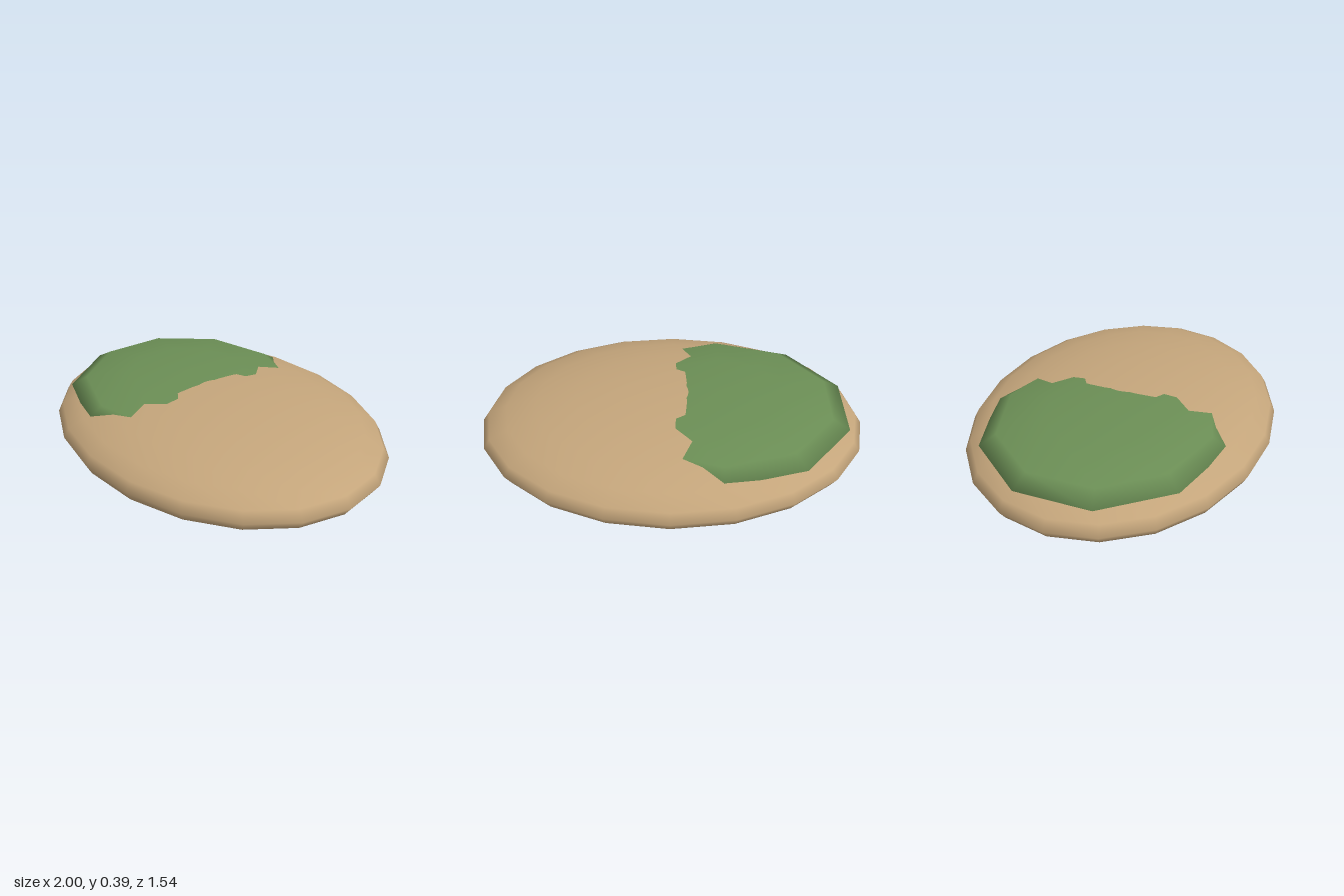
import * as THREE from 'three';

// Smooth-shaded ellipsoid with baked radii, centred on the given position
function ellipsoid(name, color, [rx, ry, rz], [x, y, z], sides, rings, turn = 0) {
  const geometry = new THREE.SphereGeometry(1, sides, rings);
  geometry.rotateY(turn);
  geometry.scale(rx, ry, rz);
  const mesh = new THREE.Mesh(geometry, new THREE.MeshStandardMaterial({ color }));
  mesh.name = name;
  mesh.position.set(x, y, z);
  return mesh;
}

export function createModel() {
  const model = new THREE.Group();
  model.name = 'mossyStone';

  // Flat oval stone
  model.add(ellipsoid('stone', 0xc4a57b, [1, 0.1925, 0.77], [0, 0.1925, 0], 20, 12));

  // Moss patch: a thinner disc sunk into the upper side, toward -x
  model.add(ellipsoid('mossPatch', 0x6b8e55, [0.683, 0.0995, 0.62], [-0.25, 0.29, 0], 10, 6, Math.PI / 2));

  return model;
}
